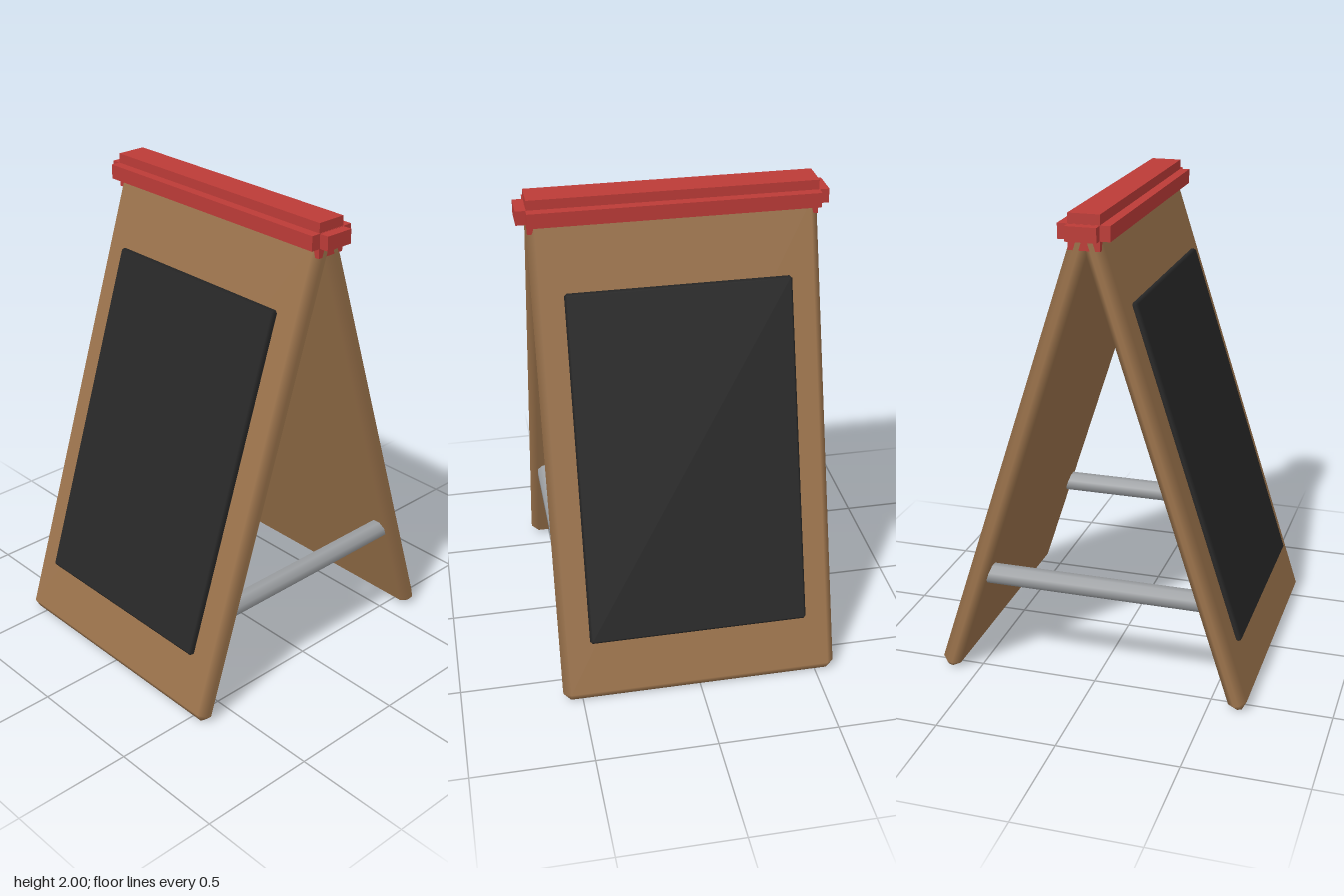
import * as THREE from 'three';
import { ConvexGeometry } from 'three/addons/geometries/ConvexGeometry.js';

const mat = (name, color) => {
  const m = new THREE.MeshStandardMaterial({ color });
  m.name = name;
  return m;
};

// Box with chamfered edges; normals follow the flat faces so the chamfers shade softly
function chamferBox(w, h, d, r) {
  const half = [w / 2, h / 2, d / 2];
  const points = [];
  for (let axis = 0; axis < 3; axis++)
    for (const sx of [-1, 1]) for (const sy of [-1, 1]) for (const sz of [-1, 1]) {
      const p = [sx, sy, sz].map((s, i) => s * (half[i] - (i === axis ? 0 : r)));
      points.push(new THREE.Vector3(...p));
    }
  const geo = new ConvexGeometry(points);
  const pos = geo.attributes.position;
  for (let i = 0; i < pos.count; i++) {
    const n = [pos.getX(i), pos.getY(i), pos.getZ(i)]
      .map((v, k) => (Math.abs(v) > half[k] - r / 2 ? Math.sign(v) : 0));
    geo.attributes.normal.setXYZ(i, ...n);
  }
  return geo;
}

export function createModel() {
  const wood = mat('wood', 0x9a724b);
  const slate = mat('chalkboard black', 0x262626);
  const red = mat('red', 0xbc3b37);
  const steel = mat('grey metal', 0x9da0a3);

  const model = new THREE.Group();
  model.name = 'sandwichBoard';
  const add = (parent, name, geo, material, x = 0, y = 0, z = 0) => {
    const mesh = new THREE.Mesh(geo, material);
    mesh.name = name;
    mesh.position.set(x, y, z);
    parent.add(mesh);
    return mesh;
  };

  // Two leaning panels, each carrying a writing surface
  const panelGeo = chamferBox(1.16, 2.02, 0.08, 0.03);
  const boardGeo = chamferBox(0.914, 1.45, 0.03, 0.01);
  for (const side of ['front', 'back']) {
    const half = new THREE.Group();
    half.name = side + 'Half';
    half.rotation.y = side === 'front' ? 0 : Math.PI;
    const lean = new THREE.Group();
    lean.name = side + 'Lean';
    lean.position.set(0, 0.967, 0.32);
    lean.rotation.x = -0.311;
    add(lean, side + 'Panel', panelGeo, wood);
    add(lean, side + 'Chalkboard', boardGeo, slate, 0, -0.033, 0.049);
    half.add(lean);
    model.add(half);
  }

  // Ridge cap along the top, with end stubs
  add(model, 'ridgeCap', new THREE.BoxGeometry(1.159, 0.14, 0.126), red, 0, 1.93, 0);
  add(model, 'ridgeFlange', new THREE.BoxGeometry(1.164, 0.06, 0.206), red, 0, 1.93, 0);
  for (const s of [1, -1])
    add(model, s > 0 ? 'leftRidgeEnd' : 'rightRidgeEnd',
      new THREE.BoxGeometry(0.06, 0.058, 0.124), red, s * 0.592, 1.93, 0);

  // Spreader bars between the panels
  const barGeo = new THREE.CylinderGeometry(0.043, 0.043, 0.91, 8);
  barGeo.rotateY(Math.PI / 8).rotateX(Math.PI / 2);
  for (const s of [1, -1])
    add(model, s > 0 ? 'leftSpreader' : 'rightSpreader', barGeo, steel, s * 0.51, 0.448, 0);

  return model;
}
